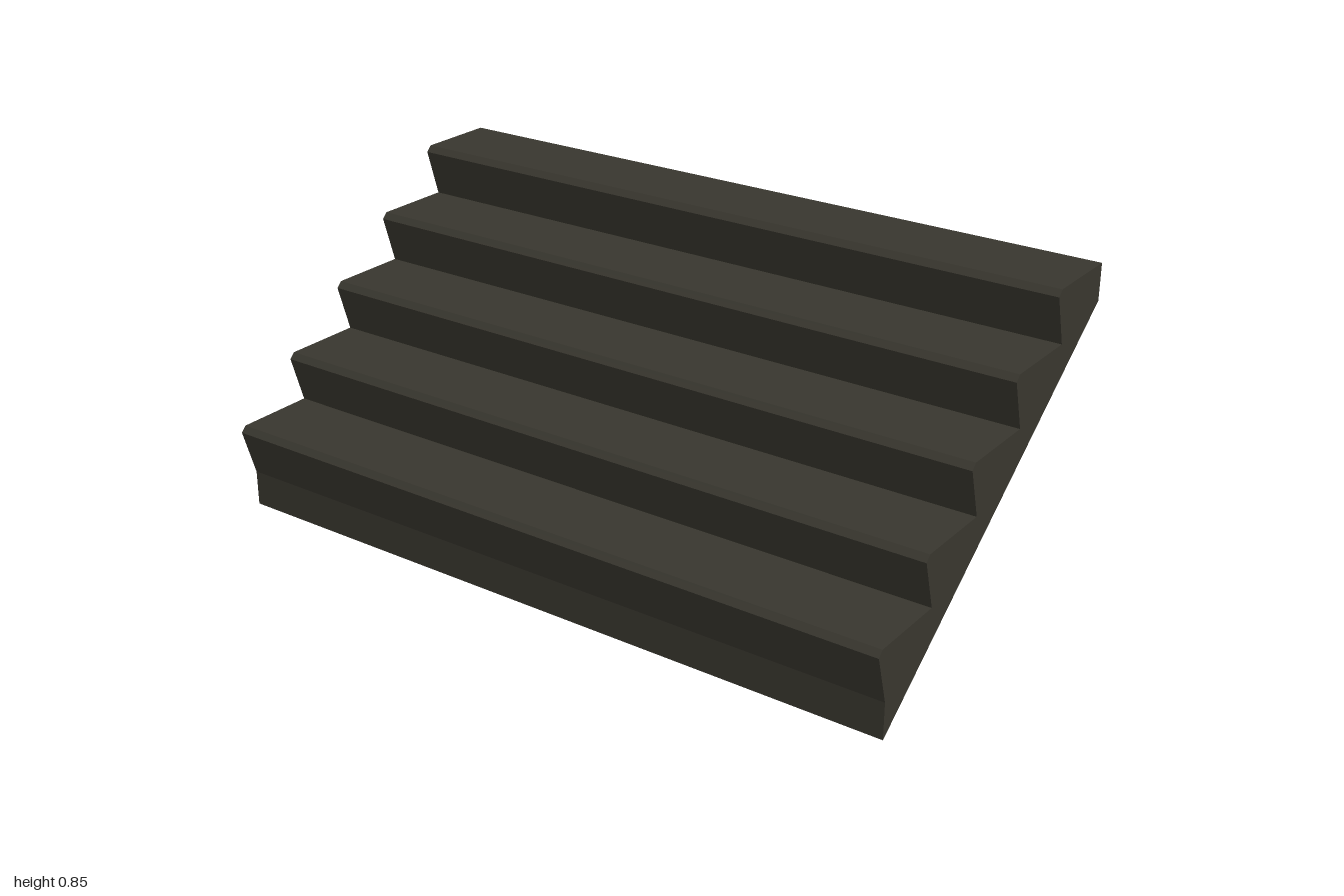
import * as THREE from 'three';

export function createModel() {
  const group = new THREE.Group();
  group.name = 'staircase';
  const darkStone = new THREE.MeshStandardMaterial({ color: 0x38362e });
  darkStone.name = 'darkStone';

  const steps = 5, run = 0.2, rise = 0.15;
  const width = 2, frontZ = 0.48, backZ = -0.52;

  // Side profile drawn as (z, y): sloped underside, then leaning risers with chamfered nosings
  const profile = new THREE.Shape();
  profile.moveTo(backZ, 0.75);
  profile.lineTo(frontZ, 0);
  for (let i = 0; i < steps; i++) {
    const z = frontZ - i * run;
    const y = 0.1 + i * rise;
    profile.lineTo(z, y);
    profile.lineTo(z + 0.04, y + 0.134);
    profile.lineTo(z + 0.025, y + rise);
  }
  profile.lineTo(backZ, 0.85);
  profile.closePath();

  // Extrude across the width and turn the profile to face sideways
  const geometry = new THREE.ExtrudeGeometry(profile, { depth: width, bevelEnabled: false });
  geometry.rotateY(-Math.PI / 2);
  geometry.translate(width / 2, 0, 0);

  const flight = new THREE.Mesh(geometry, darkStone);
  flight.name = 'stairFlight';
  group.add(flight);
  return group;
}
